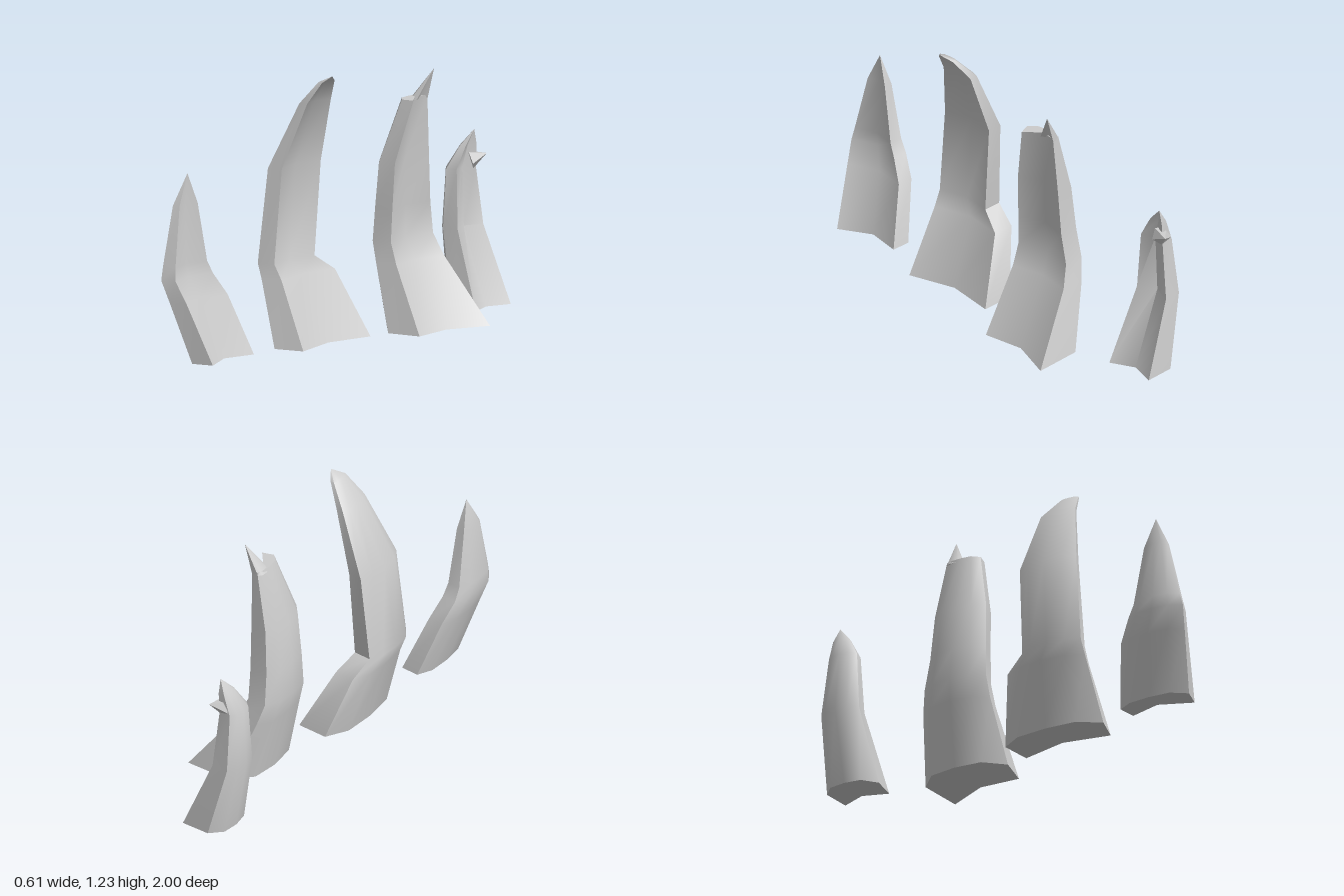
import * as THREE from 'three';
import { toCreasedNormals } from 'three/addons/utils/BufferGeometryUtils.js';

const stone = new THREE.MeshStandardMaterial({ color: 0xcccccc });
stone.name = 'grey';

// Crescent cross-section: rounded towards -x, notched towards +x.
// Row: [y, outer x, back corner x, notch x, front corner x, back z, front z]
function section([y, xL, xB, xN, xF, zB, zF]) {
  const d = zF - zB, wB = xB - xL, wF = xF - xL;
  return [
    [xB, y, zB + 0.03 * d],
    [xL + 0.32 * wB, y, zB],
    [xL + 0.05 * wB, y, zB + 0.2 * d],
    [xL, y, zB + 0.5 * d],
    [xL + 0.06 * wF, y, zB + 0.8 * d],
    [xL + 0.4 * wF, y, zF],
    [xF, y, zF - 0.09 * d],
    [xN, y, zB + 0.47 * d],
  ];
}

// Skin the cross-sections, close the bottom, and end in a point or a flat cap
function loft(name, rows, tip) {
  const rings = rows.map(section), n = rings[0].length, pos = [];
  const tri = (a, b, c) => pos.push(...a, ...b, ...c);
  for (let i = 0; i < rings.length; i++) {
    const lo = rings[i], hi = rings[i + 1];
    for (let j = 0; j < n; j++) {
      const k = (j + 1) % n;
      if (hi) {
        tri(lo[j], lo[k], hi[k]);
        tri(lo[j], hi[k], hi[j]);
      } else if (tip) {
        tri(lo[j], lo[k], tip);
      }
    }
  }
  const first = rings[0], last = rings[rings.length - 1];
  for (let j = 0; j < n - 2; j++) {
    tri(first[n - 1], first[j + 1], first[j]);
    if (!tip) tri(last[n - 1], last[j], last[j + 1]);
  }
  const geo = new THREE.BufferGeometry();
  geo.setAttribute('position', new THREE.Float32BufferAttribute(pos, 3));
  const mesh = new THREE.Mesh(toCreasedNormals(geo, 0.8), stone);
  mesh.name = name;
  return mesh;
}

// Small pointed spur between two points
function spur(name, from, to, radius) {
  const a = new THREE.Vector3(...from), b = new THREE.Vector3(...to);
  const dir = b.clone().sub(a), len = dir.length();
  const geo = new THREE.ConeGeometry(radius, len, 5);
  geo.translate(0, len / 2, 0);
  const mesh = new THREE.Mesh(toCreasedNormals(geo, 0.8), stone);
  mesh.quaternion.setFromUnitVectors(new THREE.Vector3(0, 1, 0), dir.normalize());
  mesh.position.copy(a);
  mesh.name = name;
  return mesh;
}

export function createModel() {
  const group = new THREE.Group();
  group.name = 'curvedSpikes';

  // Short front spike
  group.add(loft('frontSpike', [
    [0, -0.19, -0.06, -0.10, -0.03, 0.595, 0.945],
    [0.27, -0.275, -0.165, -0.20, -0.15, 0.655, 0.985],
    [0.37, -0.305, -0.20, -0.235, -0.20, 0.715, 1.0],
    [0.43, -0.304, -0.21, -0.24, -0.21, 0.745, 0.985],
    [0.7, -0.285, -0.225, -0.25, -0.235, 0.795, 0.92],
  ], [-0.245, 0.84, 0.845]));

  // Tall spike with a hooked rounded tip
  group.add(loft('tallSpike', [
    [0, -0.16, 0.06, 0.01, 0.06, -0.055, 0.455],
    [0.3, -0.235, -0.09, -0.13, -0.09, 0.02, 0.425],
    [0.37, -0.255, -0.13, -0.16, -0.13, 0.115, 0.42],
    [0.8, -0.22, -0.12, -0.155, -0.12, 0.085, 0.38],
    [1.1, -0.085, -0.03, -0.055, -0.03, 0.12, 0.3],
    [1.2, 0.005, 0.035, 0.02, 0.035, 0.17, 0.265],
  ], [0.065, 1.23, 0.22]));

  // Broken spike: flat top in front, sharp splinter behind
  group.add(loft('brokenSpike', [
    [0, -0.03, 0.30, 0.21, 0.225, -0.585, -0.145],
    [0.3, -0.09, 0.075, 0.04, 0.065, -0.525, -0.175],
    [0.4, -0.11, 0.03, -0.01, 0.03, -0.5, -0.18],
    [0.55, -0.10, 0.035, 0.0, 0.035, -0.475, -0.187],
    [0.76, -0.08, 0.04, 0.0, 0.045, -0.46, -0.195],
    [1.045, 0.005, 0.05, 0.04, 0.095, -0.435, -0.27],
  ]));
  group.add(loft('brokenSpikeSplinter', [
    [1.03, 0.0, 0.05, 0.035, 0.05, -0.435, -0.35],
  ], [0.09, 1.17, -0.43]));

  // Small rear spike with a side spur
  group.add(loft('rearSpike', [
    [0, -0.16, 0.045, 0.0, 0.045, -1.0, -0.735],
    [0.35, -0.22, -0.10, -0.14, -0.10, -0.975, -0.78],
    [0.62, -0.2, -0.115, -0.14, -0.115, -0.94, -0.795],
    [0.72, -0.155, -0.11, -0.13, -0.11, -0.938, -0.855],
  ], [-0.11, 0.79, -0.92]));
  group.add(spur('rearSpikeSpur', [-0.13, 0.65, -0.915], [-0.085, 0.675, -0.977], 0.045));

  return group;
}
